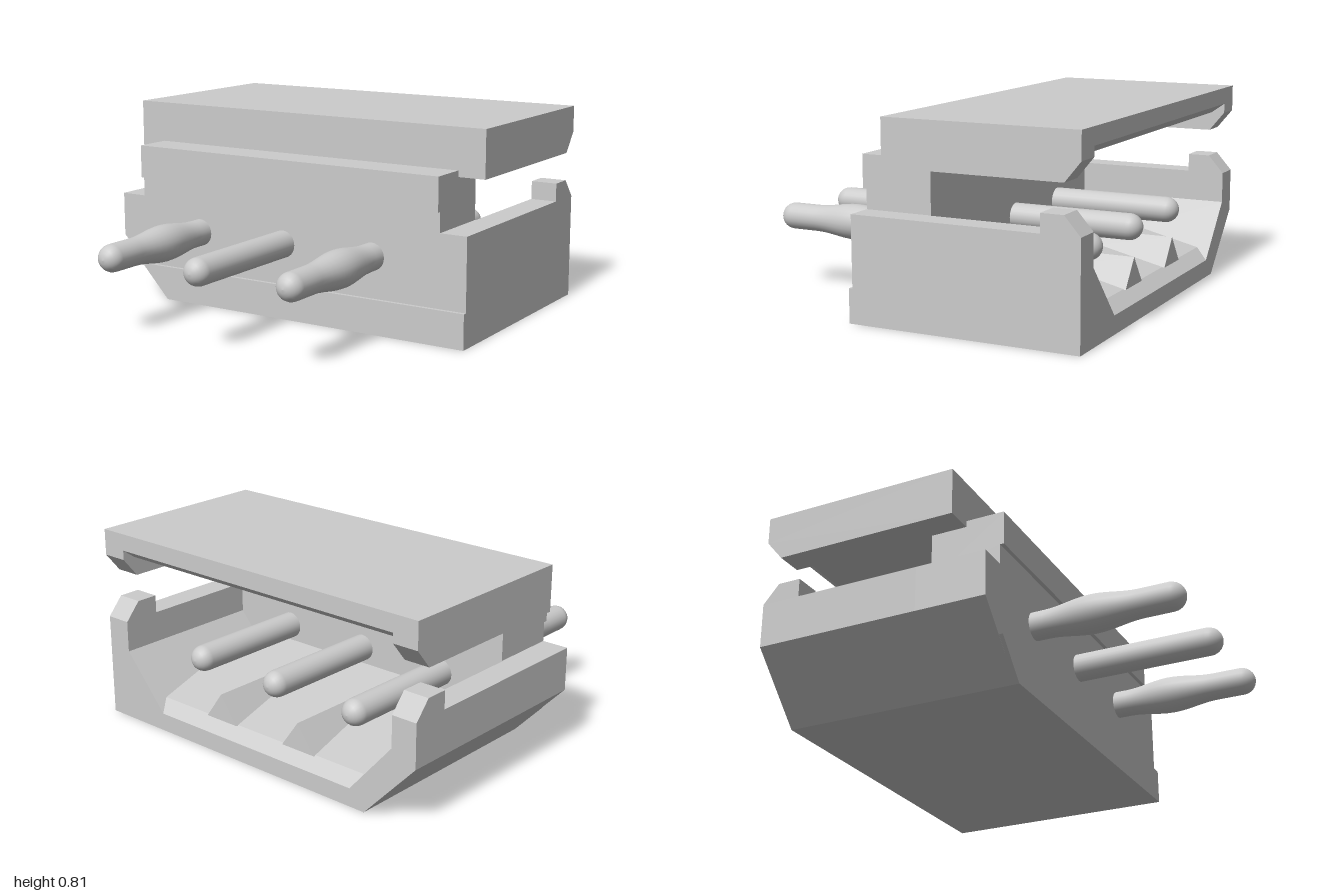
import * as THREE from 'three';

const material = new THREE.MeshStandardMaterial({ color: 0xcccccc });
const HALF = 0.818;   // half width of the housing
const INNER = 0.708;  // half width of the socket opening
const BACK = -0.486, WALL = 0.185, FRONT = 0.486;

const shapeOf = (points) => new THREE.Shape(points.map(([a, b]) => new THREE.Vector2(a, b)));

// Cross-section in (x, y), swept from z0 to z1
function sweepZ(points, z0, z1) {
  const g = new THREE.ExtrudeGeometry(shapeOf(points), { depth: z1 - z0, bevelEnabled: false });
  return g.translate(0, 0, z0);
}

// Side profile in (z, y), swept from x0 to x1
function sweepX(points, x0, x1) {
  const g = new THREE.ExtrudeGeometry(shapeOf(points), { depth: x1 - x0, bevelEnabled: false });
  return g.rotateY(-Math.PI / 2).translate(x1, 0, 0);
}

// Round contact with hemispherical ends; the bulged kind swells outside the housing
function pinGeometry(bulged) {
  const r = 0.055, z0 = -0.335, z1 = 1.015, profile = [];
  for (let i = 0; i <= 6; i++) {
    const a = (i / 6) * Math.PI / 2;
    profile.push(new THREE.Vector2(r * Math.sin(a), z0 - r * Math.cos(a)));
  }
  if (bulged) {
    for (let i = 0; i <= 12; i++) {
      const t = i / 12;
      const swell = 0.019 * Math.sin(Math.PI * t) ** 2;
      profile.push(new THREE.Vector2(r + swell, 0.52 + 0.38 * t));
    }
  }
  for (let i = 0; i <= 6; i++) {
    const a = (i / 6) * Math.PI / 2;
    profile.push(new THREE.Vector2(r * Math.cos(a), z1 + r * Math.sin(a)));
  }
  return new THREE.LatheGeometry(profile, 24).rotateX(Math.PI / 2);
}

export function createModel() {
  const model = new THREE.Group();
  const connector = new THREE.Group();
  connector.name = 'connector';
  connector.rotation.y = -0.6425;
  connector.position.set(0.025, 0, -0.12);
  model.add(connector);

  const add = (name, geometry) => {
    const mesh = new THREE.Mesh(geometry, material);
    mesh.name = name;
    connector.add(mesh);
    return mesh;
  };

  // Lower shell: open tray with one bevelled bottom edge
  add('baseTray', sweepZ([
    [-0.58, 0], [HALF, 0], [HALF, 0.43], [INNER, 0.43], [INNER, 0.3], [0.51, 0.075],
    [-0.51, 0.075], [-INNER, 0.3], [-INNER, 0.43], [-HALF, 0.43], [-HALF, 0.25],
  ], BACK, WALL));
  add('baseFront', sweepZ([
    [-0.58, 0], [HALF, 0], [HALF, 0.43], [-HALF, 0.43], [-HALF, 0.25],
  ], WALL, 0.47));
  add('baseFrontStep', sweepZ([
    [-0.58, 0], [HALF, 0], [HALF, 0.14], [-0.713, 0.14],
  ], 0.47, FRONT));

  // Sloping socket floor with a lead-in, widened to meet the slanted walls
  const floor = sweepX([[BACK, 0.075], [WALL, 0.075], [WALL, 0.235], [-0.43, 0.12]], -1, 1);
  const p = floor.attributes.position;
  for (let i = 0; i < p.count; i++) {
    p.setX(i, Math.sign(p.getX(i)) * (0.512 + (p.getY(i) - 0.075) * 0.88));
  }
  floor.computeVertexNormals();
  add('socketFloor', floor);

  // Key ribs on the floor
  for (const x of [-0.208, 0.208]) {
    add('keyRib', sweepZ([[x - 0.083, 0.118], [x + 0.083, 0.118], [x, 0.232]], -0.44, WALL));
  }

  // Wall joining the lower shell and the top
  add('middleWall', sweepX([
    [WALL, 0.43], [0.47, 0.43], [0.47, 0.51], [FRONT, 0.51], [FRONT, 0.645],
    [0.325, 0.645], [0.325, 0.72], [WALL, 0.72],
  ], -0.705, 0.705));

  // Top slab: plate with a lead-in and two deeper side rails
  add('topPlate', sweepX([
    [BACK, 0.74], [-0.43, 0.7], [0.33, 0.7], [0.33, 0.81], [BACK, 0.81],
  ], -INNER, INNER));
  for (const side of [-1, 1]) {
    const x0 = side < 0 ? -HALF : INNER, x1 = side < 0 ? -INNER : HALF;
    add('topRail', sweepX([
      [BACK, 0.7], [-0.42, 0.62], [0.33, 0.62], [0.33, 0.81], [BACK, 0.81],
    ], x0, x1));
    // Bevelled catch on each side wall
    add('sideCatch', sweepX([
      [BACK, 0.43], [-0.326, 0.43], [-0.326, 0.505], [-0.42, 0.505],
    ], x0, x1));
  }
  // Slab front between the rails, above the middle wall
  add('topFront', sweepX([[WALL, 0.62], [0.33, 0.62], [0.33, 0.71], [WALL, 0.71]], -INNER, INNER));

  // Three contacts, the outer two bulged
  for (const i of [-1, 0, 1]) {
    add('contactPin', pinGeometry(i !== 0)).position.set(i * 0.411, 0.305, 0);
  }
  return model;
}
